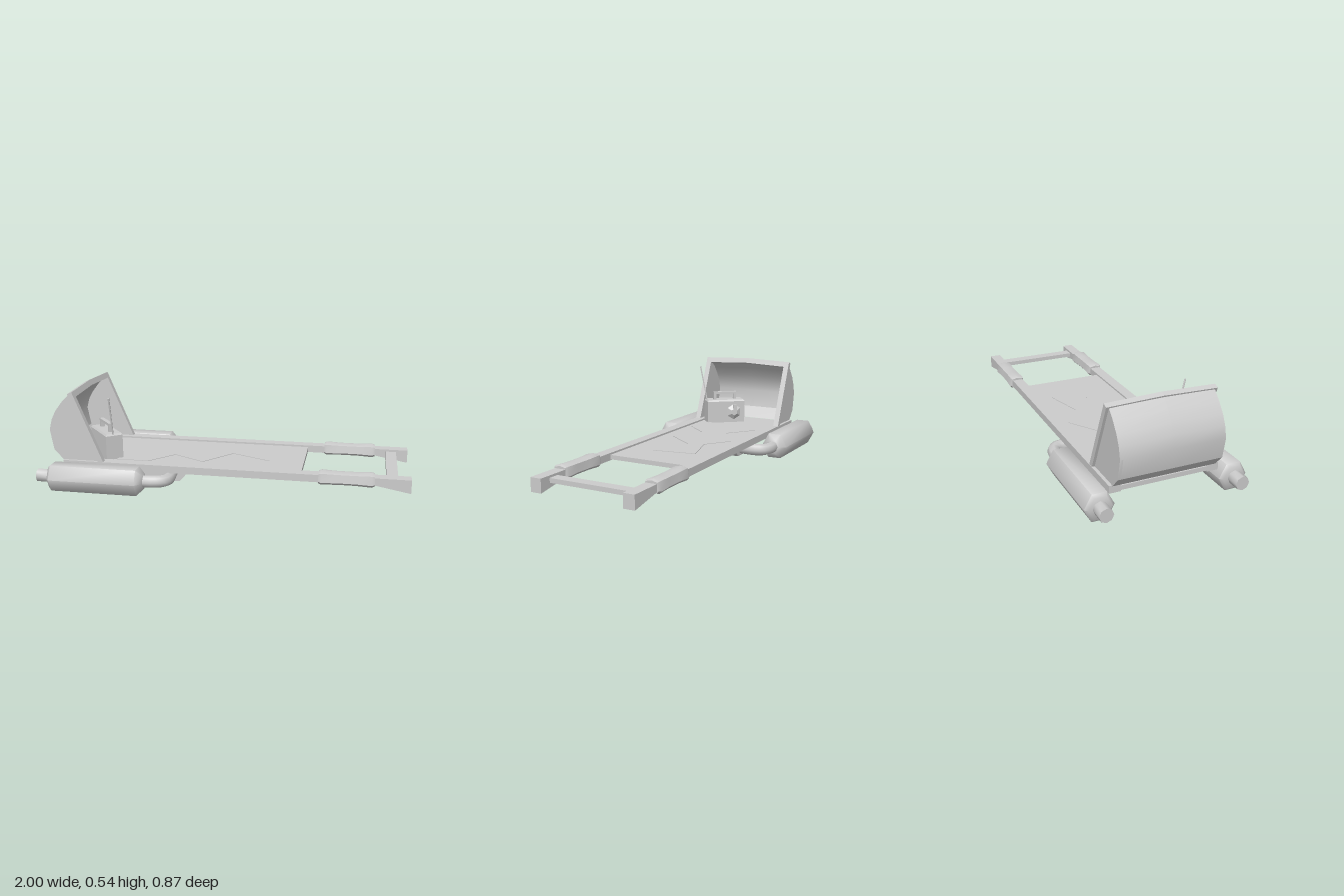
import * as THREE from 'three';
import { toCreasedNormals } from 'three/addons/utils/BufferGeometryUtils.js';

const material = new THREE.MeshStandardMaterial({ color: 0xcccccc, side: THREE.DoubleSide });

function add(parent, name, geometry, crease = 0.5) {
  const mesh = new THREE.Mesh(toCreasedNormals(geometry, crease), material);
  mesh.name = name;
  parent.add(mesh);
  return mesh;
}

function box(parent, name, size, pos) {
  return add(parent, name, new THREE.BoxGeometry(...size).translate(...pos));
}

const shapeOf = (pts) => new THREE.Shape(pts.map(([x, y]) => new THREE.Vector2(x, y)));

// Side profile (x, y) extruded over the span z0..z1
function slab(pts, z0, z1, steps = 1) {
  return new THREE.ExtrudeGeometry(shapeOf(pts), { depth: z1 - z0, steps, bevelEnabled: false })
    .translate(0, 0, z0);
}

// Move every vertex by a rule
function bend(geometry, rule) {
  const p = geometry.attributes.position;
  const v = new THREE.Vector3();
  for (let i = 0; i < p.count; i++) {
    rule(v.fromBufferAttribute(p, i));
    p.setXYZ(i, v.x, v.y, v.z);
  }
  return geometry;
}

function addGrip(parent, s) {
  const section = [[-0.034, -0.033], [0.034, -0.033], [0.046, -0.02], [0.038, 0.028], [0, 0.037], [-0.038, 0.028], [-0.046, -0.02]];
  const xs = [0.525, 0.54, 0.62, 0.72, 0.8, 0.815];
  const scales = [0.85, 1, 0.9, 0.9, 1, 0.85];
  const g = new THREE.ExtrudeGeometry(shapeOf(section), { depth: 5, steps: 5, bevelEnabled: false });
  bend(g, (v) => {
    const i = Math.round(v.z);
    v.set(xs[i], 0.128 + v.y * scales[i], s * 0.263 - v.x * scales[i]);
  });
  add(parent, 'grip', g);
}

function addThruster(parent, s) {
  // Six-sided canister lying along x, with its tail pipe
  const profile = [[0, -0.93], [0.065, -0.93], [0.0825, -0.915], [0.0825, -0.435], [0.045, -0.4], [0, -0.4]];
  const body = new THREE.LatheGeometry(profile.map(([r, y]) => new THREE.Vector2(r, y)), 6)
    .rotateZ(-Math.PI / 2).scale(1, 1, 0.93).translate(0, 0.0715, s * 0.356);
  add(parent, 'canister', body, 1.1);
  add(parent, 'tailPipe', new THREE.CylinderGeometry(0.037, 0.037, 0.09, 8)
    .rotateZ(Math.PI / 2).translate(-0.955, 0.073, s * 0.358), 1);
  // Bent pipe feeding the housing under the deck
  const path = new THREE.CatmullRomCurve3([[-0.42, 0.356], [-0.35, 0.356], [-0.3, 0.335], [-0.282, 0.29], [-0.29, 0.18]]
    .map(([x, z]) => new THREE.Vector3(x, 0.074, s * z)));
  add(parent, 'elbowPipe', new THREE.TubeGeometry(path, 14, 0.034, 8), 1);
}

function addHood(parent) {
  const outer = [[-0.88, 0.14], [-0.935, 0.2], [-0.955, 0.31], [-0.94, 0.37], [-0.915, 0.42], [-0.875, 0.472], [-0.835, 0.512]];
  const inner = [[-0.82, 0.5], [-0.862, 0.46], [-0.9, 0.41], [-0.925, 0.365], [-0.94, 0.31], [-0.92, 0.205], [-0.865, 0.14]];
  // Curved back and roof, slightly crowned across the middle
  const shell = bend(slab([...outer, ...inner], -0.27, 0.27, 2), (v) => {
    v.y += 0.011 * (1 - Math.abs(v.z) / 0.27) * THREE.MathUtils.clamp((v.y - 0.3) / 0.2, 0, 1);
  });
  add(parent, 'hoodShell', shell);
  for (const s of [-1, 1]) {
    add(parent, 'hoodSide', slab([...outer, [-0.67, 0.14]], s * 0.267 - 0.008, s * 0.267 + 0.008));
  }
  // Tilted rim around the opening
  const rim = shapeOf([[-0.29, -0.01], [-0.258, -0.01], [-0.258, 0.385], [0, 0.396], [0.258, 0.385],
    [0.258, -0.01], [0.29, -0.01], [0.29, 0.417], [0, 0.428], [-0.29, 0.417]]);
  const g = new THREE.ExtrudeGeometry(rim, { depth: 0.028, bevelEnabled: false }).translate(0, 0, -0.028);
  const basis = new THREE.Matrix4().makeBasis(new THREE.Vector3(0, 0, -1),
    new THREE.Vector3(-0.386, 0.922, 0), new THREE.Vector3(0.922, 0.386, 0));
  g.applyMatrix4(basis.setPosition(-0.65, 0.145, 0));
  add(parent, 'hoodRim', g, 0.02);
}

function addKit(parent) {
  const kit = new THREE.Group();
  kit.name = 'equipmentCase';
  kit.position.set(-0.69, 0.135, 0.102);
  kit.rotation.y = -0.877;
  parent.add(kit);
  box(kit, 'caseBody', [0.242, 0.136, 0.098], [0, 0.068, 0]);
  // Tapered lid
  const lid = bend(new THREE.BoxGeometry(0.242, 0.01, 0.098).translate(0, 0.141, 0), (v) => {
    if (v.y > 0.14) { v.x *= 0.94; v.z *= 0.86; }
  });
  add(kit, 'caseLid', lid, 0.1);
  // Carry handle
  for (const x of [-0.066, 0.066]) box(kit, 'handlePost', [0.016, 0.05, 0.024], [x, 0.168, 0]);
  box(kit, 'handleBar', [0.148, 0.015, 0.024], [0, 0.187, 0]);
  // Six-sided dial with a small lever on the front
  add(kit, 'dial', new THREE.CylinderGeometry(0.022, 0.05, 0.018, 6)
    .rotateX(-Math.PI / 2).scale(0.95, 1, 1).translate(-0.05, 0.068, -0.058), 0.1);
  box(kit, 'dialLever', [0.022, 0.036, 0.018], [-0.054, 0.1, -0.062]);
  // Antenna
  const from = new THREE.Vector3(-0.62, 0.27, 0.192);
  const to = new THREE.Vector3(-0.62, 0.492, 0.242);
  const rod = add(parent, 'antenna', new THREE.CylinderGeometry(0.005, 0.004, from.distanceTo(to), 6));
  rod.position.copy(from).lerp(to, 0.5);
  rod.quaternion.setFromUnitVectors(new THREE.Vector3(0, 1, 0), to.clone().sub(from).normalize());
}

export function createModel() {
  const model = new THREE.Group();
  model.name = 'hoverStretcher';

  // Bed and front crossbar
  box(model, 'deck', [1.31, 0.024, 0.48], [-0.225, 0.123, 0]);
  box(model, 'crossbar', [0.06, 0.024, 0.48], [0.905, 0.121, 0]);

  // Thin jagged sheet lying on the bed
  const sheet = [[-0.6, -0.2], [-0.42, -0.2], [-0.3, -0.06], [-0.12, -0.16], [0.02, 0.02], [0.24, -0.08],
    [0.2, 0.16], [-0.02, 0.1], [-0.16, 0.2], [-0.34, 0.08], [-0.5, 0.2]];
  add(model, 'sheet', slab(sheet, -0.138, -0.135).rotateX(-Math.PI / 2).translate(0, 0.274, 0));

  // Side rails with flared ends, grips and thrusters
  const rail = [[-0.88, 0.105], [0.82, 0.105], [1, 0.072], [1, 0.145], [-0.88, 0.145]];
  for (const s of [-1, 1]) {
    add(model, 'rail', slab(rail, s * 0.261 - 0.031, s * 0.261 + 0.031), 0.1);
    addGrip(model, s);
    addThruster(model, s);
  }

  // Housing under the bed and the shallow tray running through it
  add(model, 'housing', slab([[-0.42, 0.033], [-0.24, 0.033], [-0.17, 0.113], [-0.49, 0.113]], -0.208, 0.208));
  const tray = bend(new THREE.BoxGeometry(0.9, 0.03, 0.208).translate(-0.27, 0.1, 0), (v) => {
    if (v.y < 0.1) { v.x = -0.27 + (v.x + 0.27) * 0.88; v.z *= 0.7; }
  });
  add(model, 'tray', tray, 0.1);

  addHood(model);
  addKit(model);
  return model;
}
